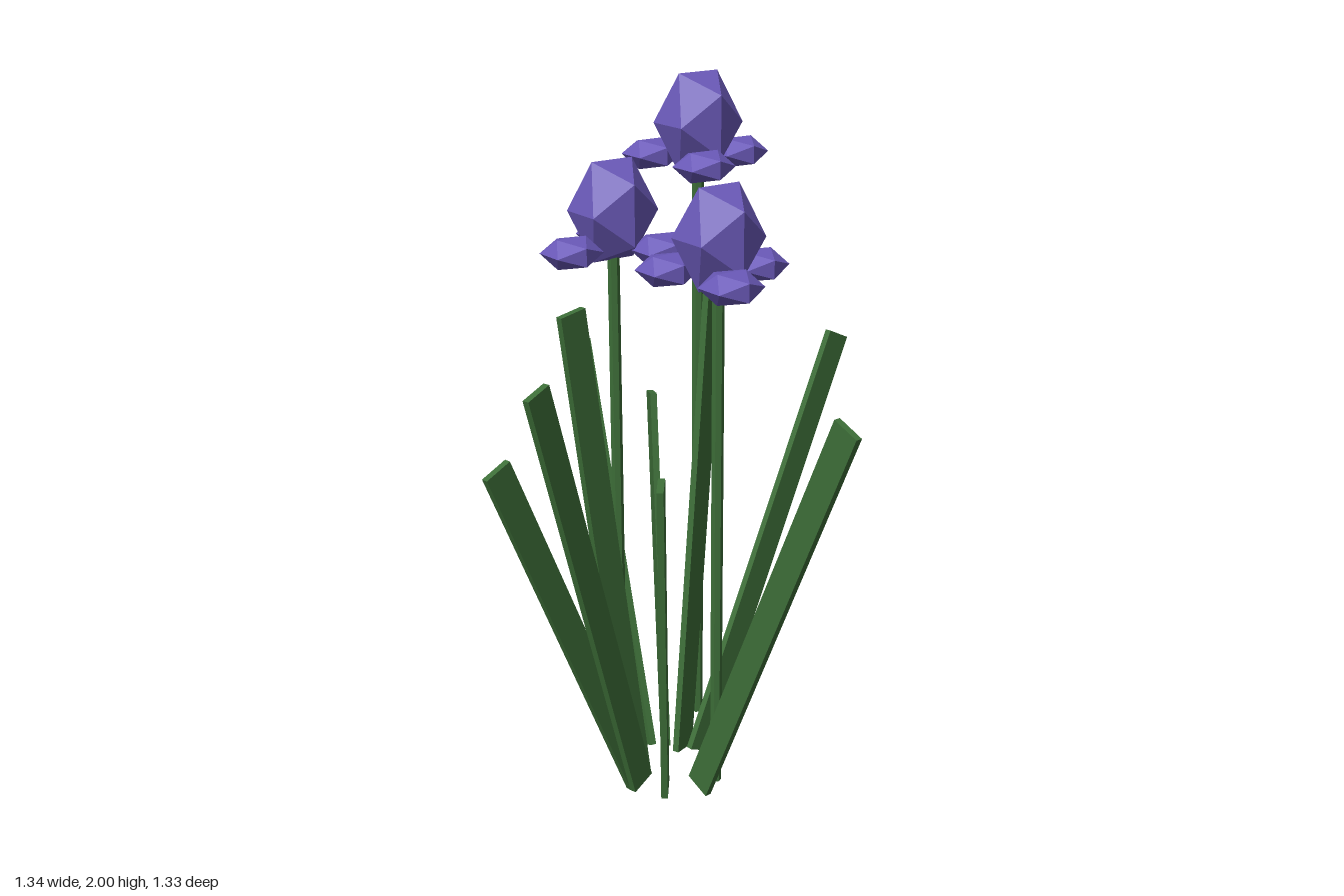
import * as THREE from 'three';

const leafGreen = new THREE.MeshStandardMaterial({ color: 0x3d6e38 });
leafGreen.name = 'leafGreen';
const petalPurple = new THREE.MeshStandardMaterial({ color: 0x6a59b8 });
petalPurple.name = 'petalPurple';

// Flat strap leaf from base to tip: broad in its leaning plane, thin across it
function makeBlade(base, tip) {
  const a = new THREE.Vector3(...base);
  const b = new THREE.Vector3(...tip);
  const along = b.clone().sub(a);
  const length = along.length();
  along.normalize();
  const across = new THREE.Vector3(along.z, 0, -along.x).normalize();
  const broad = new THREE.Vector3().crossVectors(along, across);
  const mesh = new THREE.Mesh(new THREE.BoxGeometry(0.082, length, 0.019), leafGreen);
  mesh.quaternion.setFromRotationMatrix(new THREE.Matrix4().makeBasis(broad, along, across));
  mesh.position.copy(a).add(b).multiplyScalar(0.5);
  mesh.name = 'leafBlade';
  return mesh;
}

// Faceted bud or petal, stretched or flattened in height
function makeFacet(name, radius, stretch, x, y, z) {
  const geometry = new THREE.IcosahedronGeometry(radius, 0).scale(1, stretch, 1);
  const mesh = new THREE.Mesh(geometry, petalPurple);
  mesh.position.set(x, y, z);
  mesh.name = name;
  return mesh;
}

// Stem, tall bud and three low petals around it
function makeFlower(x, z, headY, phase) {
  const flower = new THREE.Group();
  flower.name = 'flower';
  const bottom = 0.02;
  const top = headY - 0.08;
  const geometry = new THREE.CylinderGeometry(0.0165, 0.0165, top - bottom, 6).toNonIndexed();
  geometry.computeVertexNormals();
  const stem = new THREE.Mesh(geometry, leafGreen);
  stem.position.y = (top + bottom) / 2;
  stem.name = 'stem';
  flower.add(stem, makeFacet('bud', 0.123, 1.3, 0, headY, 0));
  for (let i = 0; i < 3; i++) {
    const angle = THREE.MathUtils.degToRad(phase + i * 120);
    flower.add(makeFacet('petal', 0.086, 0.55, 0.14 * Math.cos(angle), headY - 0.096, 0.14 * Math.sin(angle)));
  }
  flower.position.set(x, 0, z);
  return flower;
}

export function createModel() {
  const model = new THREE.Group();
  model.name = 'floweringPlant';

  // Leaves fanning out of a ring: base point, tip point
  const blades = [
    [[0.072, 0.02, -0.072], [0.628, 1.216, -0.131]],
    [[-0.03, 0.02, -0.19], [0.046, 1.18, -0.622]],
    [[0.017, 0.02, -0.165], [0.12, 1.07, -0.368]],
    [[0.04, 0.02, -0.108], [0.215, 1.54, -0.182]],
    [[-0.043, 0.02, 0.09], [-0.003, 1.274, 0.628]],
    [[-0.17, 0.02, -0.04], [-0.636, 1.128, 0.036]],
    [[-0.17, 0.02, -0.025], [-0.548, 1.33, 0.095]],
    [[-0.16, 0.02, -0.052], [-0.368, 1.475, -0.022]],
    [[-0.137, 0.02, 0.05], [-0.205, 1.015, 0.135]],
  ];
  for (const [base, tip] of blades) model.add(makeBlade(base, tip));

  // Three flowers
  model.add(
    makeFlower(0.21, -0.261, 1.864, 0),
    makeFlower(-0.076, -0.262, 1.657, 56),
    makeFlower(0.014, 0.092, 1.637, -6),
  );
  return model;
}
